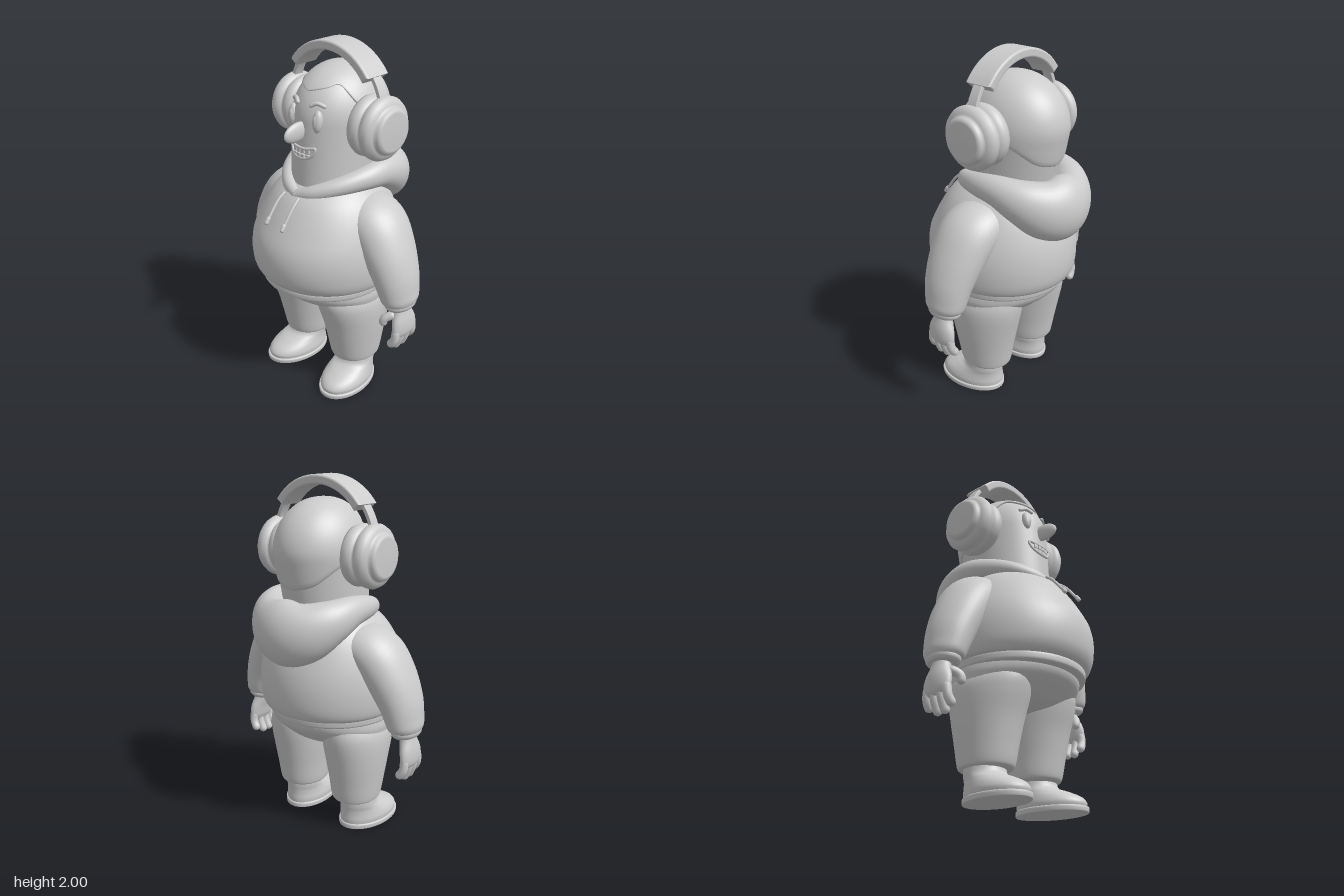
import * as THREE from 'three';
import { RoundedBoxGeometry } from 'three/addons/geometries/RoundedBoxGeometry.js';

const V = (x, y, z) => new THREE.Vector3(x, y, z);
const clay = new THREE.MeshStandardMaterial({ color: 0xcccccc });
clay.name = 'clay grey';

// Smoothly interpolate table rows, with several steps per row
function resample(rows, steps = 5) {
  const spline = new THREE.CubicInterpolant(rows.map((_, i) => i), rows.flat(), rows[0].length, []);
  const n = (rows.length - 1) * steps;
  return Array.from({ length: n + 1 }, (_, i) => Array.from(spline.evaluate(i / steps)));
}

// Skin a list of closed rings and close both ends
function loft(rings) {
  const m = rings[0].length, n = rings.length, idx = [];
  const pts = rings.flat();
  for (let i = 0; i < n - 1; i++) for (let j = 0; j < m; j++) {
    const a = i * m + j, b = i * m + (j + 1) % m;
    idx.push(a, b, a + m, b, b + m, a + m);
  }
  [0, n - 1].forEach((i) => {
    const c = pts.length;
    pts.push(rings[i].reduce((s, p) => s.add(p), V(0, 0, 0)).divideScalar(m));
    for (let j = 0; j < m; j++) {
      const a = i * m + j, b = i * m + (j + 1) % m;
      idx.push(c, ...(i === 0 ? [b, a] : [a, b]));
    }
  });
  const g = new THREE.BufferGeometry().setFromPoints(pts);
  g.setIndex(idx);
  g.computeVertexNormals();
  return g;
}

const ringOf = (f, m) => Array.from({ length: m }, (_, j) => f((j / m) * Math.PI * 2));

// Upright form from rows of [y, centre x, half width, front z, back z]
const stack = (rows, steps = 5) => loft(resample(rows, steps).map(([y, cx, rx, zf, zb]) =>
  ringOf((a) => V(cx + rx * Math.sin(a), y, (zf + zb) / 2 + (zf - zb) / 2 * Math.cos(a)), 48)));

// Form along a path from rows of [x, y, z, radius along ref, radius across]
function sweep(rows, ref, m = 28) {
  const P = rows.map((r) => V(r[0], r[1], r[2]));
  return loft(rows.map((r, i) => {
    const t = P[Math.min(i + 1, P.length - 1)].clone().sub(P[Math.max(i - 1, 0)]).normalize();
    const e1 = ref.clone().addScaledVector(t, -ref.dot(t)).normalize();
    const e2 = t.clone().cross(e1);
    return ringOf((a) => P[i].clone().addScaledVector(e1, r[3] * Math.cos(a)).addScaledVector(e2, r[4] * Math.sin(a)), m);
  }));
}

// Round-ended strand through a few points
function strand(points, r, ref = V(0, 0, 1)) {
  const c = new THREE.CatmullRomCurve3(points), len = c.getLength(), rows = [];
  for (let k = 0; k <= 24; k++) {
    const t = (1 - Math.cos(Math.PI * k / 24)) / 2;
    const d = Math.min(1, Math.min(t, 1 - t) * len / r);
    const q = Math.max(0.02, Math.sqrt(1 - (1 - d) ** 2)) * r, p = c.getPointAt(t);
    rows.push([p.x, p.y, p.z, q, q]);
  }
  return sweep(rows, ref, 14);
}

function ball(x, y, z, rx, ry, rz, tilt = 0) {
  return new THREE.SphereGeometry(1, 32, 20).scale(rx, ry, rz).rotateX(tilt).translate(x, y, z);
}

function mirrored(g) {
  const m = g.clone().scale(-1, 1, 1), ix = m.index.array;
  for (let i = 0; i < ix.length; i += 3) [ix[i], ix[i + 1]] = [ix[i + 1], ix[i]];
  return m;
}

// Skull surface by height and direction
function skull(y) {
  const k = y > 1.6 ? Math.sqrt(Math.max(0, 1 - ((y - 1.6) / 0.28) ** 2)) : 1, d = Math.max(0, 1.6 - y);
  const zf = -0.05 + 0.288 * k + 0.05 * d, zb = -0.05 - 0.29 * k + 0.2 * d;
  return { rx: (0.225 - 0.04 * d) * k, zc: (zf + zb) / 2, rz: (zf - zb) / 2 };
}
function skullPoint(y, a, grow = 0) {
  const s = skull(y);
  return V((s.rx + grow) * Math.sin(a), y, s.zc + (s.rz + grow) * Math.cos(a));
}
function onFace(x, y, out = 0) {
  const s = skull(y);
  return V(x, y, s.zc + s.rz * Math.sqrt(1 - (x / s.rx) ** 2) + out);
}

// Flat arch strip centred over the head
function arch(rOut, rIn, a0, width, bevel) {
  const s = new THREE.Shape();
  s.absarc(0, 0, rOut - bevel, a0, Math.PI - a0, false);
  s.absarc(0, 0, rIn + bevel, Math.PI - a0, a0, true);
  const depth = width - 2 * bevel;
  return new THREE.ExtrudeGeometry(s, { depth, curveSegments: 40, bevelThickness: bevel, bevelSize: bevel, bevelSegments: 4 })
    .translate(0, 1.655, -0.028 - depth / 2);
}

export function createModel() {
  const group = new THREE.Group();
  const add = (name, g) => {
    const mesh = new THREE.Mesh(g, clay);
    mesh.name = name;
    group.add(mesh);
  };
  const pair = (name, g) => { add(name + 'Left', g); add(name + 'Right', mirrored(g)); };

  // Hooded top
  add('torso', stack([
    [0.715, 0, 0.37, 0.42, -0.325], [0.735, 0, 0.395, 0.45, -0.355], [0.79, 0, 0.41, 0.48, -0.375],
    [0.88, 0, 0.415, 0.49, -0.38], [0.97, 0, 0.405, 0.475, -0.37], [1.06, 0, 0.38, 0.43, -0.345],
    [1.15, 0, 0.34, 0.375, -0.31], [1.22, 0, 0.29, 0.32, -0.27], [1.28, 0, 0.22, 0.24, -0.21], [1.31, 0, 0.15, 0.15, -0.15]]));
  add('hem', stack([
    [0.675, 0, 0.35, 0.41, -0.3], [0.682, 0, 0.368, 0.428, -0.318], [0.70, 0, 0.373, 0.433, -0.323],
    [0.722, 0, 0.372, 0.43, -0.322], [0.73, 0, 0.35, 0.41, -0.3]]));

  // Hood lying round the neck, thin in front and full behind
  const half = [
    [-0.012, 1.222, 0.285, 0.03, 0.03], [0.09, 1.25, 0.245, 0.042, 0.04], [0.18, 1.285, 0.15, 0.05, 0.05],
    [0.24, 1.31, 0.01, 0.065, 0.06], [0.243, 1.31, -0.12, 0.085, 0.075], [0.20, 1.27, -0.24, 0.12, 0.10],
    [0.11, 1.22, -0.325, 0.16, 0.12]];
  const hood = [...half, [0, 1.205, -0.355, 0.18, 0.13], ...half.map(([x, ...r]) => [-x, ...r]).reverse()];
  add('hood', sweep(resample(hood, 6), V(0, 1, 0), 36));
  pair('drawstring', strand([V(0.055, 1.235, 0.315), V(0.06, 1.2, 0.36), V(0.062, 1.09, 0.448)], 0.008));
  pair('drawstringTip', strand([V(0.061, 1.125, 0.425), V(0.062, 1.085, 0.452)], 0.012));

  // Sleeves, cuffs and hands
  pair('sleeve', sweep(resample([
    [0.17, 1.13, -0.01, 0.14, 0.09], [0.25, 1.11, -0.01, 0.165, 0.125], [0.34, 1.06, 0, 0.175, 0.138],
    [0.42, 0.95, 0.01, 0.165, 0.128], [0.48, 0.83, 0.015, 0.145, 0.113], [0.51, 0.73, 0.015, 0.128, 0.097],
    [0.52, 0.685, 0.015, 0.115, 0.088], [0.522, 0.665, 0.015, 0.09, 0.068]]), V(0, 0, 1), 36));
  pair('cuff', sweep(resample([
    [0.52, 0.69, 0.015, 0.085, 0.065], [0.522, 0.675, 0.015, 0.1, 0.077], [0.525, 0.655, 0.015, 0.099, 0.075],
    [0.527, 0.64, 0.015, 0.085, 0.064]]), V(0, 0, 1)));
  pair('palm', sweep(resample([
    [0.528, 0.67, 0.015, 0.05, 0.04], [0.535, 0.62, 0.015, 0.06, 0.042], [0.55, 0.56, 0.015, 0.085, 0.04],
    [0.556, 0.5, 0.015, 0.088, 0.034], [0.552, 0.47, 0.015, 0.06, 0.02]]), V(0, 0, 1)));
  [[0.08, 0.41, 0.095], [0.04, 0.38, 0.05], [-0.005, 0.38, 0], [-0.048, 0.41, -0.06]].forEach(([z, y, tipZ], i) =>
    pair('finger' + (i + 1), strand([V(0.556, 0.53, z), V(0.552, 0.46, (z + tipZ) / 2), V(0.52, y, tipZ)], 0.024)));
  pair('thumb', strand([V(0.53, 0.61, 0.06), V(0.485, 0.575, 0.1), V(0.475, 0.53, 0.1)], 0.024));

  // Trousers
  add('trouserSeat', stack([
    [0.505, 0, 0.1, 0.1, -0.07], [0.535, 0, 0.25, 0.22, -0.17], [0.58, 0, 0.345, 0.295, -0.225],
    [0.63, 0, 0.366, 0.36, -0.28], [0.67, 0, 0.366, 0.385, -0.3], [0.70, 0, 0.36, 0.385, -0.3]]));
  pair('trouserLeg', stack([
    [0.168, 0.195, 0.105, 0.12, -0.1], [0.175, 0.195, 0.128, 0.155, -0.13], [0.20, 0.195, 0.139, 0.172, -0.142],
    [0.30, 0.196, 0.152, 0.195, -0.16], [0.42, 0.195, 0.168, 0.225, -0.185], [0.53, 0.193, 0.178, 0.262, -0.21],
    [0.60, 0.19, 0.175, 0.28, -0.22], [0.66, 0.18, 0.16, 0.28, -0.22]]));

  // Shoes, toes turned a little outward
  const turn = (g) => g.translate(-0.2, 0, 0).rotateY(0.12).translate(0.205, 0, 0);
  pair('shoe', turn(stack([
    [0.022, 0.2, 0.125, 0.305, -0.092], [0.05, 0.2, 0.128, 0.308, -0.094], [0.08, 0.2, 0.122, 0.28, -0.092],
    [0.11, 0.2, 0.113, 0.215, -0.092], [0.14, 0.2, 0.108, 0.145, -0.094], [0.19, 0.2, 0.106, 0.125, -0.094]])));
  pair('shoeSole', turn(stack([
    [0, 0.2, 0.13, 0.312, -0.095], [0.0005, 0.2, 0.134, 0.318, -0.1], [0.022, 0.2, 0.136, 0.32, -0.1],
    [0.028, 0.2, 0.13, 0.312, -0.095]], 3)));

  // Head
  const heights = [1.2, 1.28, 1.36, 1.44, 1.52];
  for (let i = 0; i < 20; i++) heights.push(1.6 + 0.28 * Math.sin((i / 20) * Math.PI / 2));
  add('head', loft(heights.map((y) => ringOf((a) => skullPoint(y, a), 56))));

  // Hair cap, its lower edge set by direction: peak in front, long at the nape
  const edgeA = [0, 0.5, 0.9, 1.25, 1.6, 2.1, 2.6, Math.PI];
  const edge = new THREE.CubicInterpolant(edgeA, [1.768, 1.79, 1.80, 1.71, 1.6, 1.53, 1.45, 1.42], 1, [0]);
  const hairSteps = [0, 0.006, 0.02, 0.05];
  for (let i = 1; i <= 20; i++) hairSteps.push(0.05 + 0.949 * i / 20);
  add('hair', loft(hairSteps.map((t, i) => ringOf((a) => {
    const low = edge.evaluate(Math.min(Math.PI, a > Math.PI ? 2 * Math.PI - a : a))[0];
    const y = low + (1.88 - low) * Math.sin(t * Math.PI / 2);
    const p = skullPoint(y, a, [-0.006, 0.006, 0.012][i] ?? 0.014 * Math.min(1, (1 - t) * 6));
    p.y += 0.006 * t;
    return p;
  }, 96))));

  // Face
  const eye = onFace(0.09, 1.635);
  pair('eye', ball(eye.x, eye.y, eye.z - 0.002, 0.028, 0.058, 0.026, -0.15));
  pair('pupil', ball(eye.x - 0.002, eye.y, eye.z + 0.018, 0.014, 0.032, 0.009, -0.1));
  pair('eyebrow', strand([onFace(0.04, 1.705, 0.006), onFace(0.075, 1.724, 0.008), onFace(0.118, 1.708, 0.006)], 0.011, V(0, 1, 0)));
  add('nose', ball(0, 1.572, 0.268, 0.024, 0.052, 0.088, 0.12));
  const lips = [[-0.085, 1.49], [-0.04, 1.484], [0, 1.482], [0.04, 1.484], [0.085, 1.49], [0.07, 1.452], [0.03, 1.43], [-0.03, 1.43], [-0.07, 1.452]];
  add('lips', new THREE.TubeGeometry(new THREE.CatmullRomCurve3(lips.map(([x, y]) => onFace(x, y, 0.002)), true), 80, 0.008, 10, true));
  [[1.47, 0.03], [1.443, 0.022]].forEach(([y, h], row) => {
    for (let i = -1.5; i <= 1.5; i++) {
      const p = onFace(i * 0.029, y);
      add((row ? 'lower' : 'upper') + 'Tooth', new RoundedBoxGeometry(0.027, h, 0.014, 2, 0.005)
        .rotateY(i * 0.13).translate(p.x, p.y, p.z));
    }
  });

  // Headphones
  const cup = [
    [0, 0.2], [0.13, 0.2], [0.155, 0.212], [0.165, 0.235], [0.163, 0.26], [0.15, 0.278], [0.138, 0.284],
    [0.152, 0.29], [0.167, 0.305], [0.169, 0.33], [0.158, 0.352], [0.135, 0.366], [0.123, 0.366], [0.122, 0.382],
    [0.112, 0.394], [0.098, 0.398], [0, 0.4]].map(([r, x]) => new THREE.Vector2(r, x));
  pair('earCup', new THREE.LatheGeometry(cup, 56).rotateZ(-Math.PI / 2).translate(0, 1.597, -0.028));
  add('headbandFrame', arch(0.338, 0.314, 0, 0.06, 0.005));
  add('headbandPad', arch(0.345, 0.295, 0.67, 0.16, 0.012));

  return group;
}
